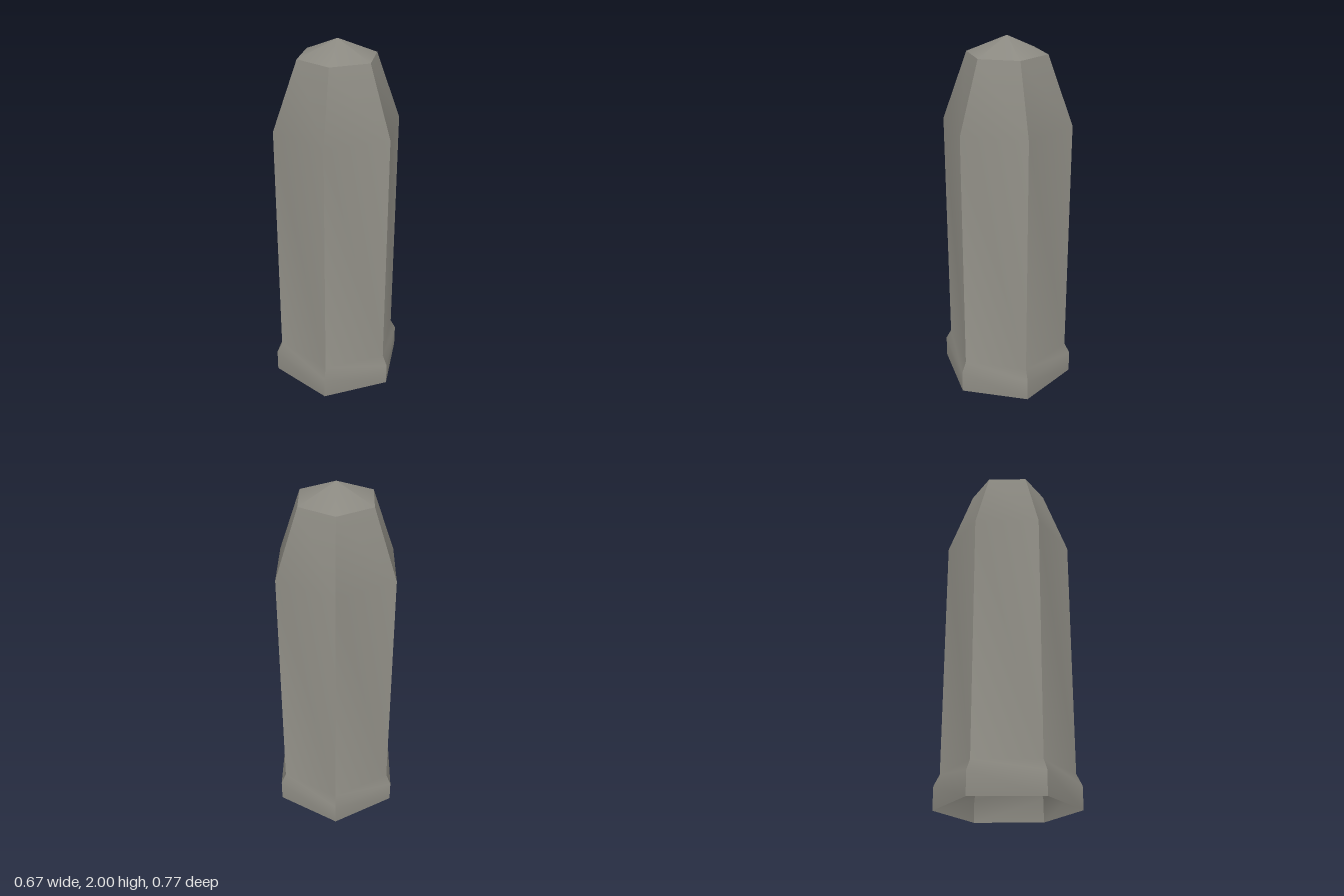
import * as THREE from 'three';
import { toCreasedNormals } from 'three/addons/utils/BufferGeometryUtils.js';

const SIDES = 6;
const CREASE = THREE.MathUtils.degToRad(40); // sharp corners, soft bends along each side

export function createModel() {
  const group = new THREE.Group();
  group.name = 'hexagonalPost';

  const stone = new THREE.MeshStandardMaterial({ color: 0x8c8a82, side: THREE.DoubleSide });
  stone.name = 'warm grey';

  const addPart = (name, geometry, y = 0) => {
    const mesh = new THREE.Mesh(toCreasedNormals(geometry, CREASE), stone);
    mesh.name = name;
    mesh.position.y = y;
    group.add(mesh);
  };

  // Shaft: flared foot, straight body and tapered shoulder, open underneath
  const profile = [
    [0.384, 0], [0.384, 0.125], [0.353, 0.185], [0.353, 1.54], [0.216, 1.91],
  ].map(([r, y]) => new THREE.Vector2(r, y));
  addPart('shaft', new THREE.LatheGeometry(profile, SIDES));

  // Cap: shallow six-sided point
  addPart('cap', new THREE.ConeGeometry(0.216, 0.09, SIDES, 1, true), 1.955);

  return group;
}
